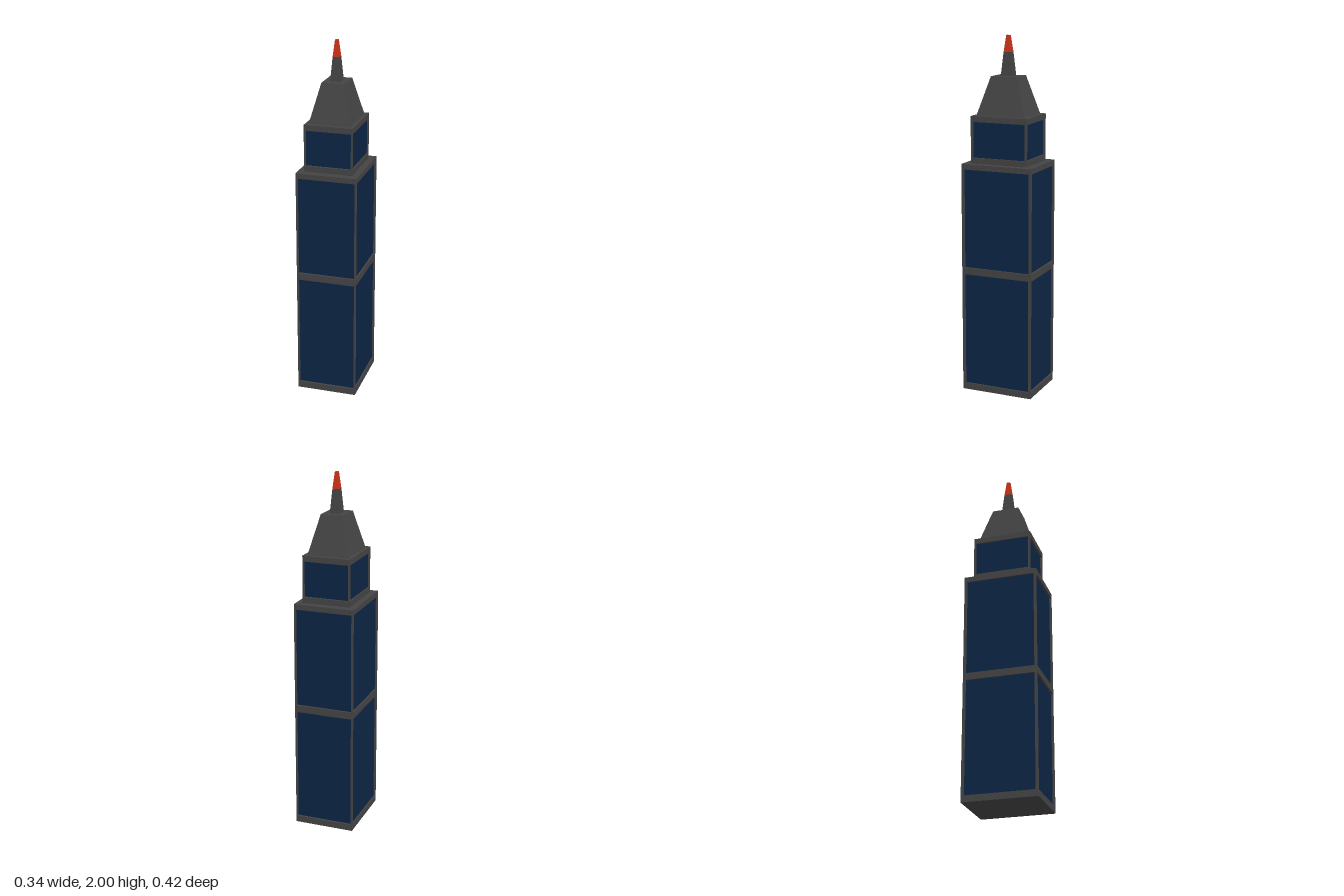
import * as THREE from 'three';

const frameMat = new THREE.MeshStandardMaterial({ color: 0x444444 });
const glassMat = new THREE.MeshStandardMaterial({ color: 0x0d2545 });
const tipMat = new THREE.MeshStandardMaterial({ color: 0xcc3318 });

// Box between two heights; the top may be narrower than the bottom (half sizes).
function block(name, mat, y0, y1, hx, hz, topX = hx, topZ = hz) {
  const geo = new THREE.BoxGeometry(2 * hx, y1 - y0, 2 * hz);
  geo.translate(0, (y0 + y1) / 2, 0);
  const p = geo.attributes.position;
  for (let i = 0; i < p.count; i++) {
    if (p.getY(i) > (y0 + y1) / 2) {
      p.setX(i, Math.sign(p.getX(i)) * topX);
      p.setZ(i, Math.sign(p.getZ(i)) * topZ);
    }
  }
  geo.computeVertexNormals();
  const mesh = new THREE.Mesh(geo, mat);
  mesh.name = name;
  return mesh;
}

// One storey block: recessed glass core, horizontal bands and corner posts.
function tier(name, hx, hz, bands, postX, postZ) {
  const g = new THREE.Group();
  g.name = name;
  const y0 = bands[0][0], y1 = bands[bands.length - 1][1];
  g.add(block('glass', glassMat, y0 + 0.01, y1 - 0.01, hx - postX, hz - 0.012));
  for (const [a, b] of bands) g.add(block('band', frameMat, a, b, hx, hz));
  for (const sx of [-1, 1]) {
    for (const sz of [-1, 1]) {
      const post = block('cornerPost', frameMat, y0 + 0.005, y1 - 0.005, postX / 2, postZ / 2);
      post.position.set(sx * (hx - postX / 2), 0, sz * (hz - postZ / 2));
      g.add(post);
    }
  }
  return g;
}

export function createModel() {
  const model = new THREE.Group();
  model.name = 'skyscraper';

  // Main shaft and set-back upper storeys
  model.add(tier('mainShaft', 0.17, 0.208, [[0, 0.037], [0.68, 0.72], [1.275, 1.305]], 0.009, 0.015));
  model.add(tier('upperTier', 0.135, 0.166, [[1.305, 1.338], [1.535, 1.567]], 0.008, 0.012));

  // Tapered roof, spire and red tip
  model.add(block('roof', frameMat, 1.567, 1.78, 0.115, 0.141, 0.063, 0.077));
  model.add(block('spire', frameMat, 1.78, 1.91, 0.028, 0.034, 0.0175, 0.0215));
  model.add(block('spireTip', tipMat, 1.91, 2, 0.0175, 0.0215, 0.008, 0.01));
  return model;
}
